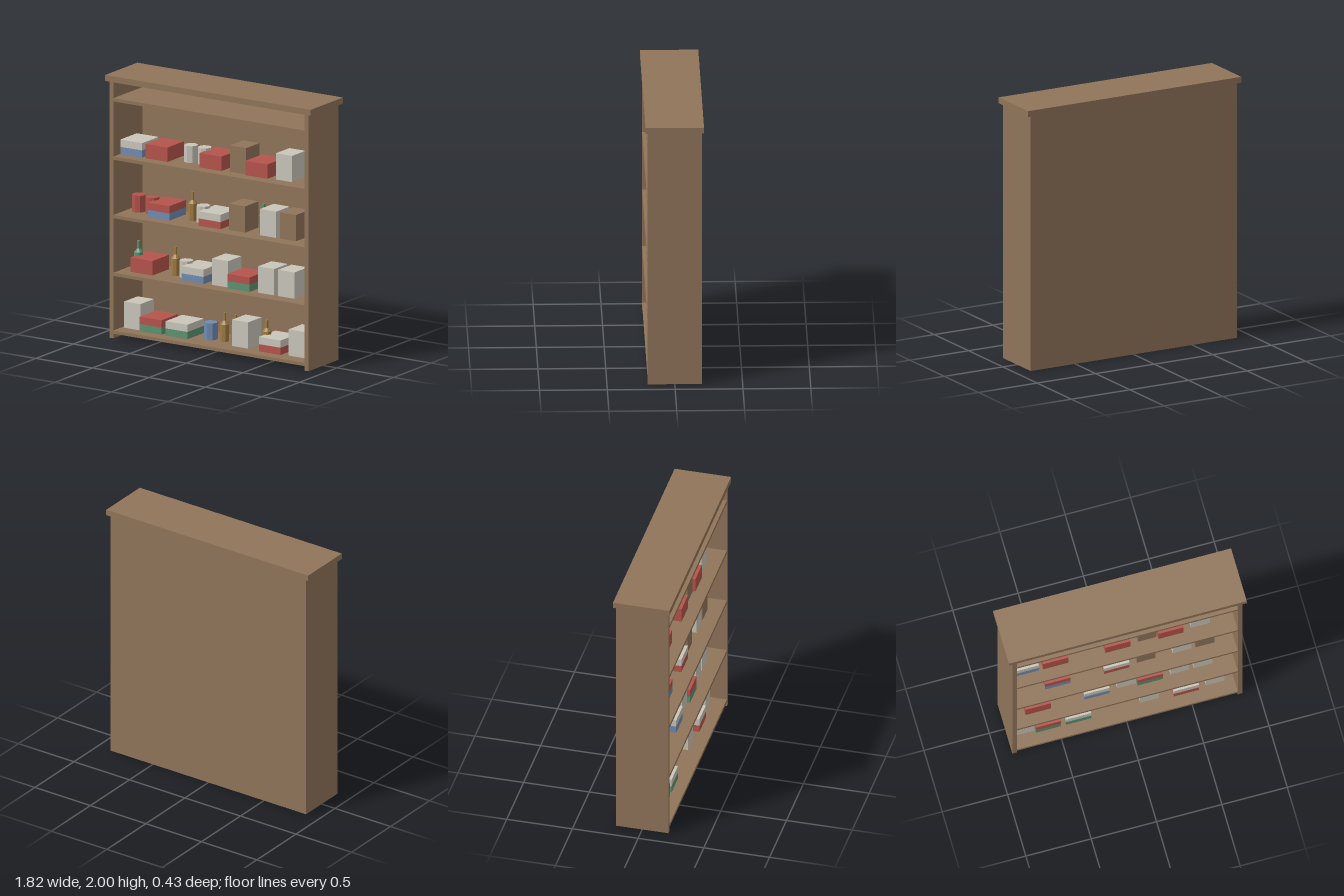
import * as THREE from 'three';

const mat = (name, color) => {
  const m = new THREE.MeshStandardMaterial({ color });
  m.name = name;
  return m;
};

export function createModel() {
  const model = new THREE.Group();
  model.name = 'stockedShelf';
  const wood = mat('wood', 0x8f7459);
  const white = mat('offWhite', 0xc9c5ba);
  const red = mat('red', 0xb5544b);
  const blue = mat('blue', 0x708bb0);
  const green = mat('green', 0x5c9270);
  const amber = mat('amber', 0xa17c42);

  const add = (parent, name, geometry, material, x = 0, y = 0, z = 0) => {
    const mesh = new THREE.Mesh(geometry, material);
    mesh.name = name;
    mesh.position.set(x, y, z);
    parent.add(mesh);
    return mesh;
  };
  // Box given by its base height
  const block = (parent, name, material, w, h, d, x, y, z) =>
    add(parent, name, new THREE.BoxGeometry(w, h, d), material, x, y + h / 2, z);

  // Cabinet
  const cabinet = new THREE.Group();
  cabinet.name = 'cabinet';
  model.add(cabinet);
  for (const s of [1, -1]) {
    block(cabinet, s > 0 ? 'leftSide' : 'rightSide', wood, 0.035, 1.955, 0.385, s * 0.8625, 0, 0.0075);
  }
  block(cabinet, 'backPanel', wood, 1.76, 1.955, 0.015, 0, 0, -0.1925);
  block(cabinet, 'topBoard', wood, 1.82, 0.045, 0.43, 0, 1.955, 0);
  const levels = [0.06, 0.5, 0.94, 1.385];
  for (const y of [...levels, 1.83]) {
    block(cabinet, 'shelf', wood, 1.69, 0.025, 0.385, 0, y - 0.025, 0.0075);
  }

  // Goods: each helper takes the centre x on a shelf at height y
  const canGeometry = new THREE.CylinderGeometry(0.052, 0.052, 0.128, 8).toNonIndexed();
  canGeometry.computeVertexNormals();
  const bottleProfile = [[0, 0], [0.034, 0], [0.034, 0.13], [0.012, 0.157], [0.012, 0.215], [0, 0.215]]
    .map(([r, h]) => new THREE.Vector2(r, h));
  const bottleGeometry = new THREE.LatheGeometry(bottleProfile, 8).toNonIndexed();
  bottleGeometry.computeVertexNormals();

  const make = {
    can: (g, x, y, m) => add(g, 'can', canGeometry, m, x, y + 0.064),
    bottle: (g, x, y, m) => add(g, 'bottle', bottleGeometry, m, x, y),
    carton: (g, x, y, m) => block(g, 'tallCarton', m, 0.143, 0.2, 0.18, x, y, 0),
    crate: (g, x, y, m) => block(g, 'flatBox', m, 0.193, 0.11, 0.22, x, y, 0),
    // Two thin boxes, one on the other
    pair: (g, x, y, lower, upper) => {
      block(g, 'lowerBox', lower, 0.193, 0.055, 0.22, x, y, 0);
      block(g, 'upperBox', upper, 0.193, 0.055, 0.22, x, y + 0.055, 0);
    },
  };

  // Stock from the bottom shelf up
  const stock = [
    [
      ['carton', -0.752, white], ['pair', -0.577, green, red], ['pair', -0.347, green, white],
      ['can', -0.116, blue], ['bottle', 0.005, amber], ['bottle', 0.102, amber],
      ['carton', 0.201, white], ['bottle', 0.379, amber], ['pair', 0.477, red, white],
      ['carton', 0.704, white],
    ],
    [
      ['bottle', -0.755, green], ['crate', -0.657, red], ['bottle', -0.429, amber],
      ['can', -0.333, white], ['pair', -0.206, blue, white], ['carton', 0.024, white],
      ['pair', 0.201, green, red], ['carton', 0.432, white], ['carton', 0.61, white],
    ],
    [
      ['can', -0.754, red], ['can', -0.631, red], ['pair', -0.507, blue, red],
      ['bottle', -0.278, amber], ['can', -0.181, white], ['pair', -0.055, red, white],
      ['carton', 0.175, wood], ['bottle', 0.351, green], ['carton', 0.45, white],
      ['carton', 0.625, wood],
    ],
    [
      ['pair', -0.748, blue, white], ['crate', -0.523, red], ['can', -0.291, white],
      ['can', -0.17, white], ['crate', -0.047, red], ['carton', 0.183, wood],
      ['crate', 0.36, red], ['carton', 0.59, white],
    ],
  ];
  stock.forEach((row, i) => {
    const group = new THREE.Group();
    group.name = `shelfGoods${i + 1}`;
    model.add(group);
    for (const [kind, x, ...colours] of row) make[kind](group, x, levels[i], ...colours);
  });

  return model;
}
